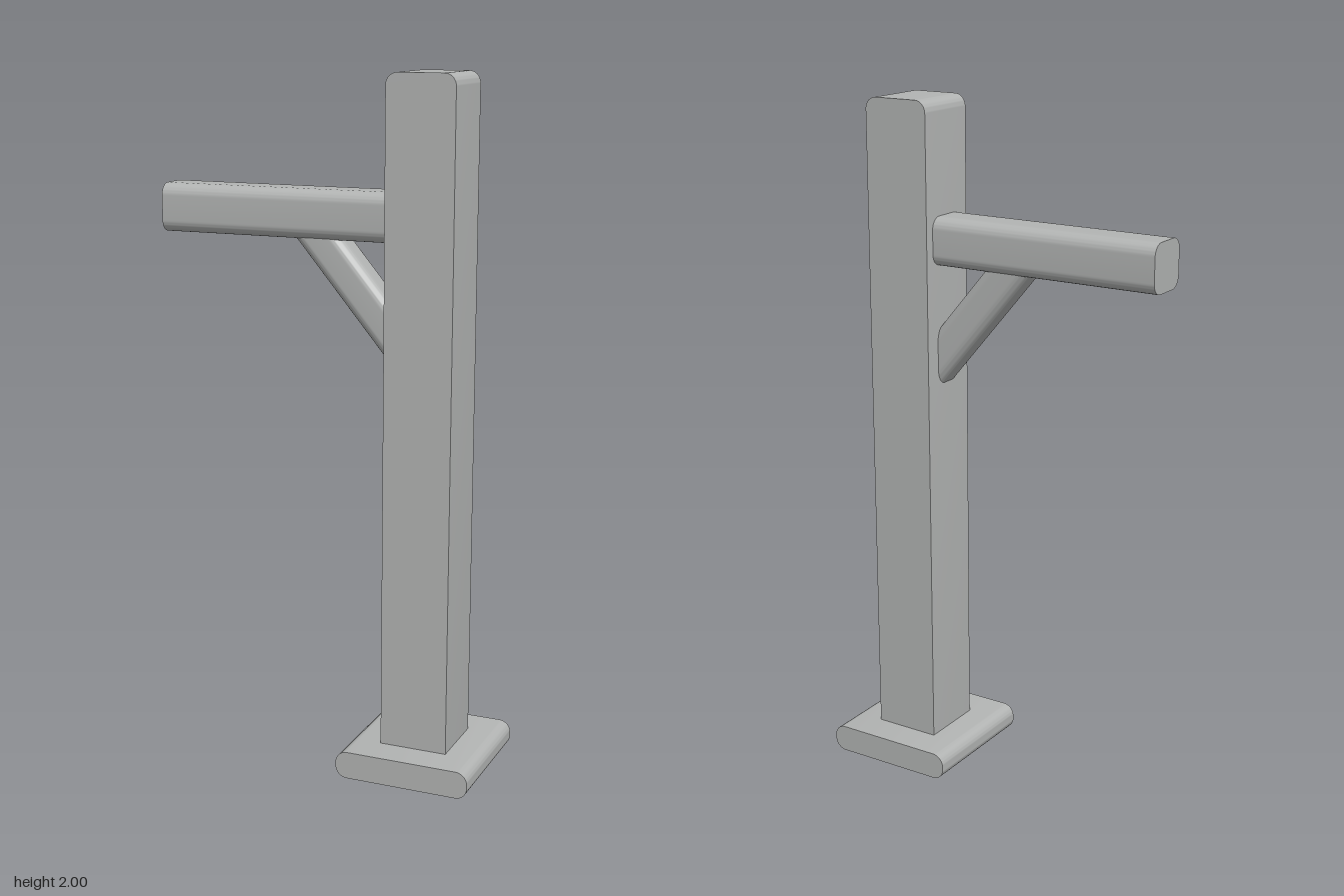
import * as THREE from 'three';
import { toCreasedNormals } from 'three/addons/utils/BufferGeometryUtils.js';

// Bar with a rounded rectangular section, centred, running along z
function roundedBar(width, height, length, radius) {
  const x = width / 2, y = height / 2, r = radius;
  const s = new THREE.Shape();
  s.moveTo(-x + r, -y);
  s.lineTo(x - r, -y);
  s.absarc(x - r, -y + r, r, -Math.PI / 2, 0);
  s.lineTo(x, y - r);
  s.absarc(x - r, y - r, r, 0, Math.PI / 2);
  s.lineTo(-x + r, y);
  s.absarc(-x + r, y - r, r, Math.PI / 2, Math.PI);
  s.lineTo(-x, -y + r);
  s.absarc(-x + r, -y + r, r, Math.PI, Math.PI * 1.5);
  const g = new THREE.ExtrudeGeometry(s, { depth: length, bevelEnabled: false, curveSegments: 6 });
  g.translate(0, 0, -length / 2);
  return toCreasedNormals(g, 0.6);
}

export function createModel() {
  const model = new THREE.Group();
  const grey = new THREE.MeshStandardMaterial({ color: 0xb2b4b3 });
  grey.name = 'grey';

  const add = (name, geometry, x, y) => {
    const mesh = new THREE.Mesh(geometry, grey);
    mesh.name = name;
    mesh.position.set(x, y, 0);
    model.add(mesh);
  };

  // Foot plate and upright, rounded on their left and right edges
  add('footPlate', roundedBar(0.4, 0.08, 0.4, 0.035), 0.3, 0.04);
  add('post', roundedBar(0.2, 1.98, 0.2, 0.034), 0.3, 1.01);

  // Horizontal arm, its inner end sunk into the post
  add('arm', roundedBar(0.14, 0.14, 0.74, 0.035).rotateY(Math.PI / 2), -0.13, 1.605);

  // Diagonal brace, both ends sunk into post and arm
  const from = new THREE.Vector2(0.25, 1.213), to = new THREE.Vector2(-0.06, 1.58);
  const run = to.clone().sub(from);
  const brace = roundedBar(0.1, 0.112, run.length(), 0.03).rotateY(Math.PI / 2).rotateZ(run.angle());
  add('brace', brace, (from.x + to.x) / 2, (from.y + to.y) / 2);

  return model;
}
